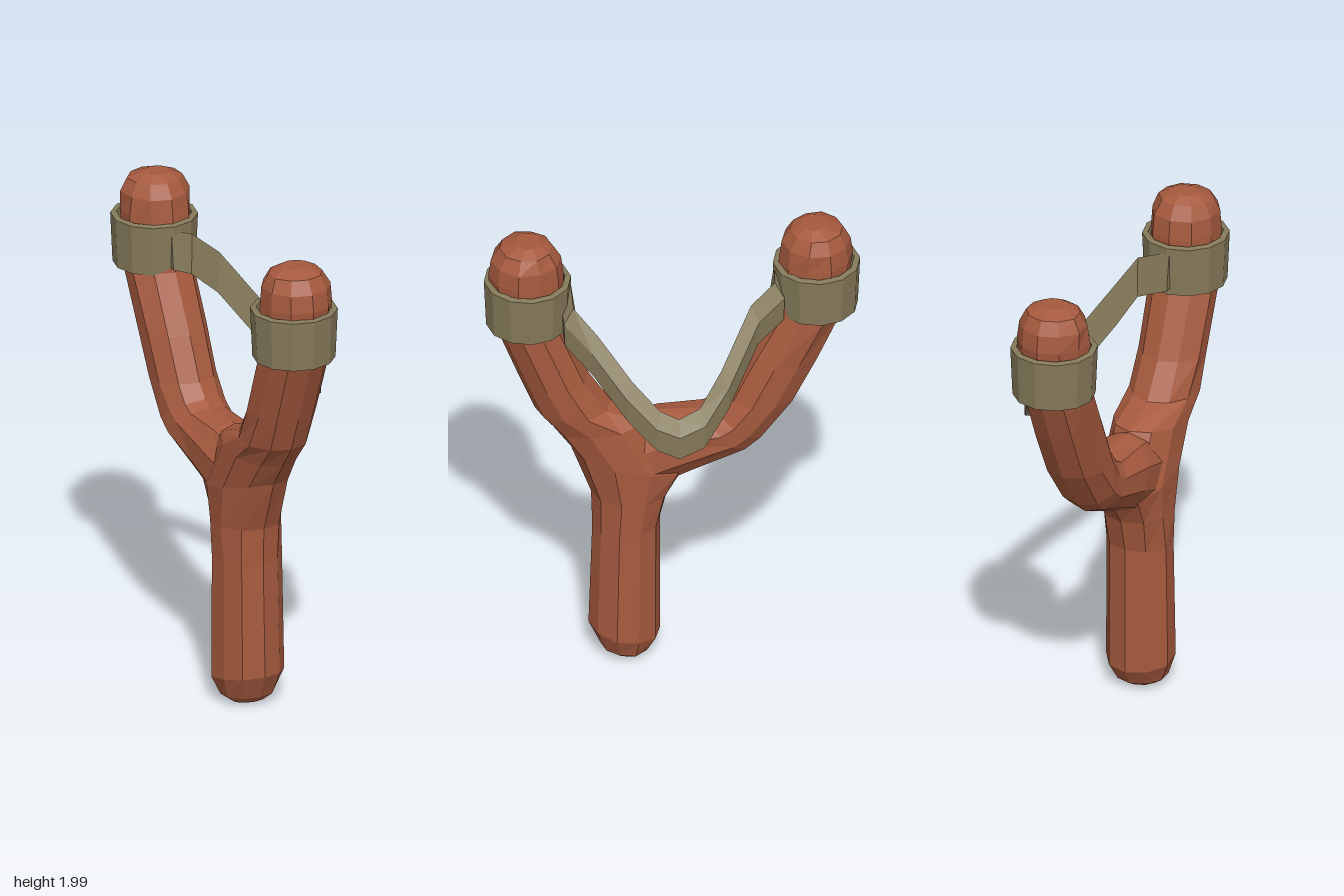
import * as THREE from 'three';

const wood = new THREE.MeshStandardMaterial({ color: 0xa65a3e, flatShading: true });
const rubber = new THREE.MeshStandardMaterial({ color: 0x857a5a, flatShading: true });
const CX = -0.115;

// Skin a list of equal-length rings of points and close both ends
function loft(rings, material, name) {
  const n = rings[0].length, last = (rings.length - 1) * n;
  const pts = rings.flat(), idx = [];
  for (let j = 0; j < rings.length - 1; j++) {
    for (let i = 0; i < n; i++) {
      const k = (i + 1) % n, a = j * n, b = a + n;
      idx.push(a + i, a + k, b + k, a + i, b + k, b + i);
    }
  }
  const middle = (ring) => ring.reduce((s, p) => s.add(p), new THREE.Vector3()).divideScalar(n);
  pts.push(middle(rings[0]), middle(rings[rings.length - 1]));
  for (let i = 0; i < n; i++) {
    const k = (i + 1) % n;
    idx.push(pts.length - 2, k, i, pts.length - 1, last + i, last + k);
  }
  const geo = new THREE.BufferGeometry().setFromPoints(pts);
  geo.setIndex(idx);
  geo.computeVertexNormals();
  const mesh = new THREE.Mesh(geo, material);
  mesh.name = name;
  return mesh;
}

// Wooden limb: each station is [z1, y1, z2, y2, half width in x]
function limb(stations, name) {
  const sides = 10;
  const rings = stations.map(([z1, y1, z2, y2, rx], j) =>
    Array.from({ length: sides }, (_, i) => {
      const a = (i / sides) * Math.PI * 2, c = Math.cos(a);
      // slight whittled unevenness
      const r = rx * (1 + 0.035 * Math.sin(i * 2.7 + Math.floor(j / 2) * 1.9));
      return new THREE.Vector3(
        CX + Math.sin(a) * r,
        (y1 + y2) / 2 + (c * (y1 - y2)) / 2,
        (z1 + z2) / 2 + (c * (z1 - z2)) / 2);
    }));
  return loft(rings, wood, name);
}

// Rubber band wrapped round an arm
function wrap(z, name) {
  const profile = [[0.14, -0.1], [0.165, -0.105], [0.174, 0.1], [0.15, 0.105], [0.14, -0.1]]
    .map(([r, y]) => new THREE.Vector2(r, y));
  const mesh = new THREE.Mesh(new THREE.LatheGeometry(profile, 12), rubber);
  mesh.position.set(-0.118, 1.717, z);
  mesh.name = name;
  return mesh;
}

export function createModel() {
  const group = new THREE.Group();
  group.name = 'slingshot';

  // Handle running up into the front arm
  group.add(limb([
    [0.25, 0.02, 0.13, 0.01, 0.07],
    [0.285, 0.05, 0.085, 0.035, 0.11],
    [0.33, 0.15, 0.045, 0.1, 0.143],
    [0.315, 0.62, 0.045, 0.64, 0.138],
    [0.32, 0.78, 0.01, 0.78, 0.142],
    [0.4, 1.0, -0.06, 0.88, 0.148],
    [0.47, 1.1, 0.08, 1.15, 0.138],
    [0.545, 1.2, 0.24, 1.21, 0.136],
    [0.605, 1.35, 0.33, 1.35, 0.138],
    [0.7, 1.6, 0.43, 1.6, 0.142],
    [0.73, 1.85, 0.43, 1.84, 0.143],
    [0.72, 1.92, 0.44, 1.92, 0.138],
    [0.685, 1.975, 0.475, 1.975, 0.11],
    [0.62, 2.0, 0.52, 2.0, 0.06],
  ], 'handleAndFrontArm'));

  // Back arm branching off the handle
  group.add(limb([
    [0.24, 1.12, 0.1, 0.78, 0.125],
    [0.06, 1.15, -0.08, 0.87, 0.135],
    [-0.12, 1.145, -0.3, 0.965, 0.132],
    [-0.165, 1.165, -0.365, 1.02, 0.132],
    [-0.21, 1.22, -0.5, 1.2, 0.135],
    [-0.29, 1.39, -0.6, 1.4, 0.138],
    [-0.41, 1.62, -0.69, 1.6, 0.142],
    [-0.43, 1.84, -0.725, 1.85, 0.143],
    [-0.44, 1.92, -0.715, 1.92, 0.138],
    [-0.475, 1.975, -0.685, 1.975, 0.11],
    [-0.52, 2.0, -0.62, 2.0, 0.06],
  ], 'backArm'));

  group.add(wrap(0.573, 'frontWrap'), wrap(-0.58, 'backWrap'));

  // Sagging strap between the two wraps
  const path = [
    [-0.13, 1.72, 0.415], [0.015, 1.665, 0.415], [0.08, 1.565, 0.32], [0.18, 1.405, 0.195],
    [0.237, 1.295, 0.09], [0.252, 1.258, 0.01], [0.235, 1.293, -0.08], [0.175, 1.425, -0.175],
    [0.035, 1.635, -0.31], [-0.035, 1.69, -0.415], [-0.13, 1.72, -0.425],
  ].map((p) => new THREE.Vector3(...p));
  const section = [[0.032, 0.02], [0.028, -0.082], [-0.034, -0.08], [-0.012, 0.082]];
  group.add(loft(path.map((p, i) => {
    const t = path[Math.min(i + 1, path.length - 1)].clone().sub(path[Math.max(i - 1, 0)]);
    const out = new THREE.Vector3(-t.z, 0, t.x).normalize();
    return section.map(([o, y]) => p.clone().addScaledVector(out, o).add(new THREE.Vector3(0, y, 0)));
  }), rubber, 'strap'));

  return group;
}
